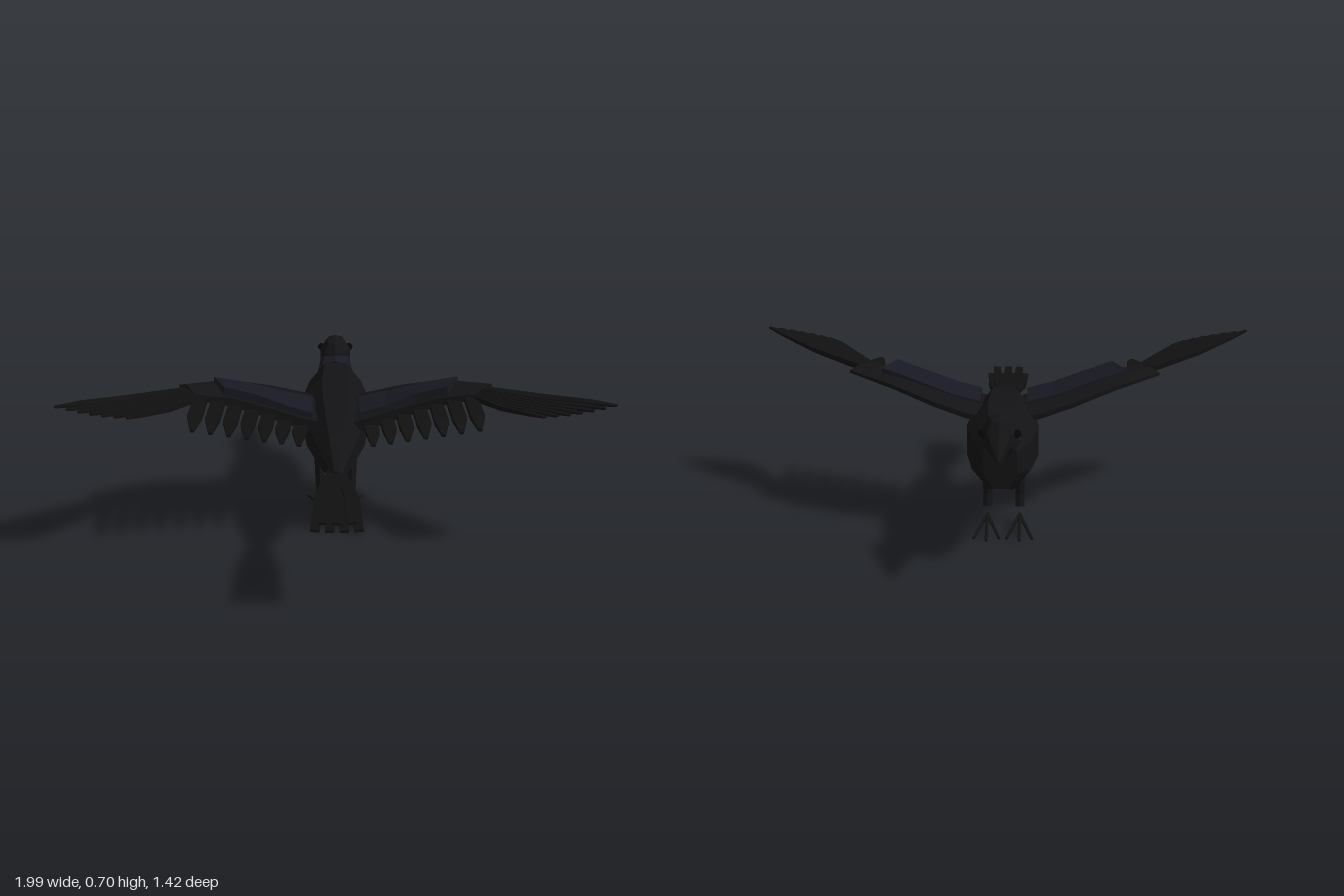
import * as THREE from 'three';

const V = (x, y, z) => new THREE.Vector3(x, y, z);
const mat = (color) => new THREE.MeshStandardMaterial({ color, flatShading: true });
const plumage = mat(0x131315), sheen = mat(0x171821), feathers = mat(0x101010), horn = mat(0x121212), eyeMat = mat(0x050505);

// Closed faceted skin through rings of points; faces are turned outward by the sign of the volume.
function loft(rings) {
  const tris = [], n = rings[0].length;
  for (let i = 0; i + 1 < rings.length; i++)
    for (let j = 0; j < n; j++) {
      const k = (j + 1) % n, a = rings[i], b = rings[i + 1];
      tris.push([a[j], a[k], b[k]], [a[j], b[k], b[j]]);
    }
  const first = rings[0], last = rings[rings.length - 1];
  for (let j = 1; j + 1 < n; j++) tris.push([first[0], first[j + 1], first[j]], [last[0], last[j], last[j + 1]]);
  const o = first[0];
  let vol = 0;
  for (const [a, b, c] of tris) vol += a.clone().sub(o).dot(b.clone().sub(o).cross(c.clone().sub(o)));
  const pos = [];
  for (const [a, b, c] of tris) for (const p of vol < 0 ? [a, c, b] : [a, b, c]) pos.push(p.x, p.y, p.z);
  const g = new THREE.BufferGeometry();
  g.setAttribute('position', new THREE.Float32BufferAttribute(pos, 3));
  g.computeVertexNormals();
  return g;
}

// Upright elliptical ring across the z axis.
function ring(z, cy, rx, ry, n) {
  return Array.from({ length: n }, (_, i) => {
    const a = ((i + 0.5) / n) * Math.PI * 2, f = 1 / Math.cos(Math.PI / n);
    return V(Math.cos(a) * rx * f, cy + Math.sin(a) * ry * f, z);
  });
}

// Flat tapering blade: stations are [point, halfWidth, halfThickness].
function blade(stations) {
  const dir = stations[stations.length - 1][0].clone().sub(stations[0][0]);
  const side = V(dir.z, 0, -dir.x).normalize();
  return loft(stations.map(([p, w, t]) => [[1, 1], [-1, 1], [-1, -1], [1, -1]].map(
    ([a, b]) => p.clone().addScaledVector(side, a * w).add(V(0, b * t, 0)))));
}

// Straight rod between two points.
function rod(a, b, ra, rb, sides) {
  const d = b.clone().sub(a), g = new THREE.CylinderGeometry(rb, ra, d.length(), sides);
  g.applyQuaternion(new THREE.Quaternion().setFromUnitVectors(V(0, 1, 0), d.normalize()));
  const m = a.clone().add(b).multiplyScalar(0.5);
  return g.translate(m.x, m.y, m.z);
}

function add(parent, name, geometry, material) {
  const m = new THREE.Mesh(geometry, material);
  m.name = name;
  parent.add(m);
  return m;
}

function group(parent, name) {
  const g = new THREE.Group();
  g.name = name;
  parent.add(g);
  return g;
}

function buildWing(root, s, label) {
  const wing = group(root, label + 'Wing');

  // Arm: [x, leading z, trailing z, top y, thickness]
  const arm = [[0.07, -0.18, 0.08, 0.515, 0.06], [0.14, -0.178, 0.08, 0.53, 0.06], [0.26, -0.16, 0.075, 0.565, 0.055],
    [0.42, -0.105, 0.08, 0.61, 0.045], [0.6, 0, 0.1, 0.632, 0.03]];
  add(wing, 'wingArm', loft(arm.map(([x, zl, zt, y, t], i) => {
    const xt = i === 4 ? 0.53 : x - i * 0.01;
    return [V(s * x, y - t * 0.65, zl), V(s * x, y - t * 0.3, zl), V(s * (x + xt) / 2, y + 0.005, zl * 0.6 + zt * 0.4),
      V(s * xt, y - t * 0.2, zt), V(s * xt, y - t, zt), V(s * (x + xt) / 2, y - t - 0.01, (zl + zt) / 2)];
  })), plumage);

  // Raised coverts along the arm
  const coverts = [[0.09, -0.09, 0.07, 0.535], [0.2, -0.085, 0.065, 0.562], [0.34, -0.06, 0.06, 0.61], [0.47, -0.03, 0.075, 0.647]];
  add(wing, 'coverts', loft(coverts.map(([x, z0, z1, y], i) => {
    const xt = x - i * 0.016;
    return [V(s * x, y - 0.05, z0), V(s * x, y - 0.005, z0), V(s * xt, y, z1), V(s * xt, y - 0.05, z1)];
  })), sheen);

  // Secondary flight feathers
  for (let i = 0; i < 7; i++) {
    const t = i / 6, x = 0.14 + 0.38 * t, y = 0.47 + 0.12 * t, z = 0.2 + 0.115 * t;
    add(wing, 'secondaryFeather', blade([
      [V(s * (x - 0.015), y + 0.02, 0.02), 0.025, 0.012],
      [V(s * x, y, z - 0.09), 0.027, 0.01],
      [V(s * x, y - 0.01, z), 0.007, 0.005]]), feathers);
  }

  // Primary flight feathers fanning from the wrist
  for (let i = 0; i < 7; i++) {
    const t = i / 6, a = V(s * (0.565 - 0.035 * t), 0.622 - 0.012 * t, 0.06 + 0.035 * t);
    const b = V(s * (0.99 - 0.25 * t), 0.698 - 0.045 * t, 0.36 + 0.015 * Math.sin(t * Math.PI));
    const mid = a.clone().lerp(b, 0.45).add(V(0, -0.005, 0));
    add(wing, 'primaryFeather', blade([[a, 0.016, 0.012], [mid, 0.024, 0.009], [a.clone().lerp(b, 0.8), 0.019, 0.006],
      [b, 0.006, 0.003]]), feathers);
  }
}

function buildLeg(root, s, label) {
  const leg = group(root, label + 'Leg'), x = s * 0.064;
  add(leg, 'thigh', rod(V(x, 0.32, -0.07), V(x, 0.13, -0.047), 0.027, 0.019, 6), plumage);
  add(leg, 'shank', rod(V(x, 0.14, -0.045), V(x, 0.083, -0.062), 0.02, 0.021, 6), plumage);

  // Three front toes and one hind toe
  const ankle = V(x, 0.049, -0.068);
  for (const [dx, z] of [[-0.05, -0.21], [0, -0.228], [0.05, -0.21], [0, 0.018]])
    add(leg, 'toe', rod(ankle, V(x + dx, 0.009, z), 0.008, 0.006, 5), horn);
}

export function createModel() {
  const root = new THREE.Group();
  root.name = 'bird';

  // Body, tail end first: [z, centre y, half width, half height]
  const body = [[0.363, 0.415, 0.018, 0.025], [0.21, 0.415, 0.064, 0.085], [0, 0.415, 0.115, 0.135],
    [-0.2, 0.413, 0.135, 0.143], [-0.37, 0.418, 0.108, 0.133], [-0.483, 0.433, 0.06, 0.1]];
  add(root, 'body', loft(body.map((r) => ring(...r, 8))), plumage);

  // Neck and head
  add(root, 'neck', rod(V(0, 0.49, -0.41), V(0, 0.535, -0.51), 0.075, 0.058, 8), sheen);
  const skull = new THREE.SphereGeometry(1, 8, 5);
  skull.scale(0.066, 0.08, 0.088).translate(0, 0.543, -0.502);
  add(root, 'head', skull, plumage);

  // Upper and lower beak
  const beak = (name, rows) => add(root, name, loft(rows.map((r) => ring(...r, 6))), horn);
  beak('upperBeak', [[-0.55, 0.55, 0.042, 0.03], [-0.63, 0.543, 0.026, 0.022], [-0.695, 0.53, 0.012, 0.013], [-0.713, 0.524, 0.004, 0.008]]);
  beak('lowerBeak', [[-0.55, 0.517, 0.034, 0.016], [-0.63, 0.514, 0.02, 0.011], [-0.695, 0.515, 0.008, 0.005]]);

  // Tail fan in two overlapping layers
  const tail = group(root, 'tail');
  for (let i = -3; i <= 3; i++) {
    const t = i / 3, y = i % 2 ? 0.397 : 0.427;
    add(tail, 'tailFeather', blade([
      [V(t * 0.014, 0.415, 0.31), 0.012, 0.012],
      [V(t * 0.062, (y + 0.415) / 2, 0.5), 0.017, 0.009],
      [V(t * 0.075, y, 0.71 - 0.006 * Math.abs(t)), 0.016, 0.005]]), feathers);
  }

  for (const [s, label] of [[1, 'left'], [-1, 'right']]) {
    buildWing(root, s, label);
    buildLeg(root, s, label);
    const eye = new THREE.SphereGeometry(0.015, 8, 6);
    add(root, label + 'Eye', eye.translate(s * 0.06, 0.562, -0.535), eyeMat);
  }
  return root;
}
